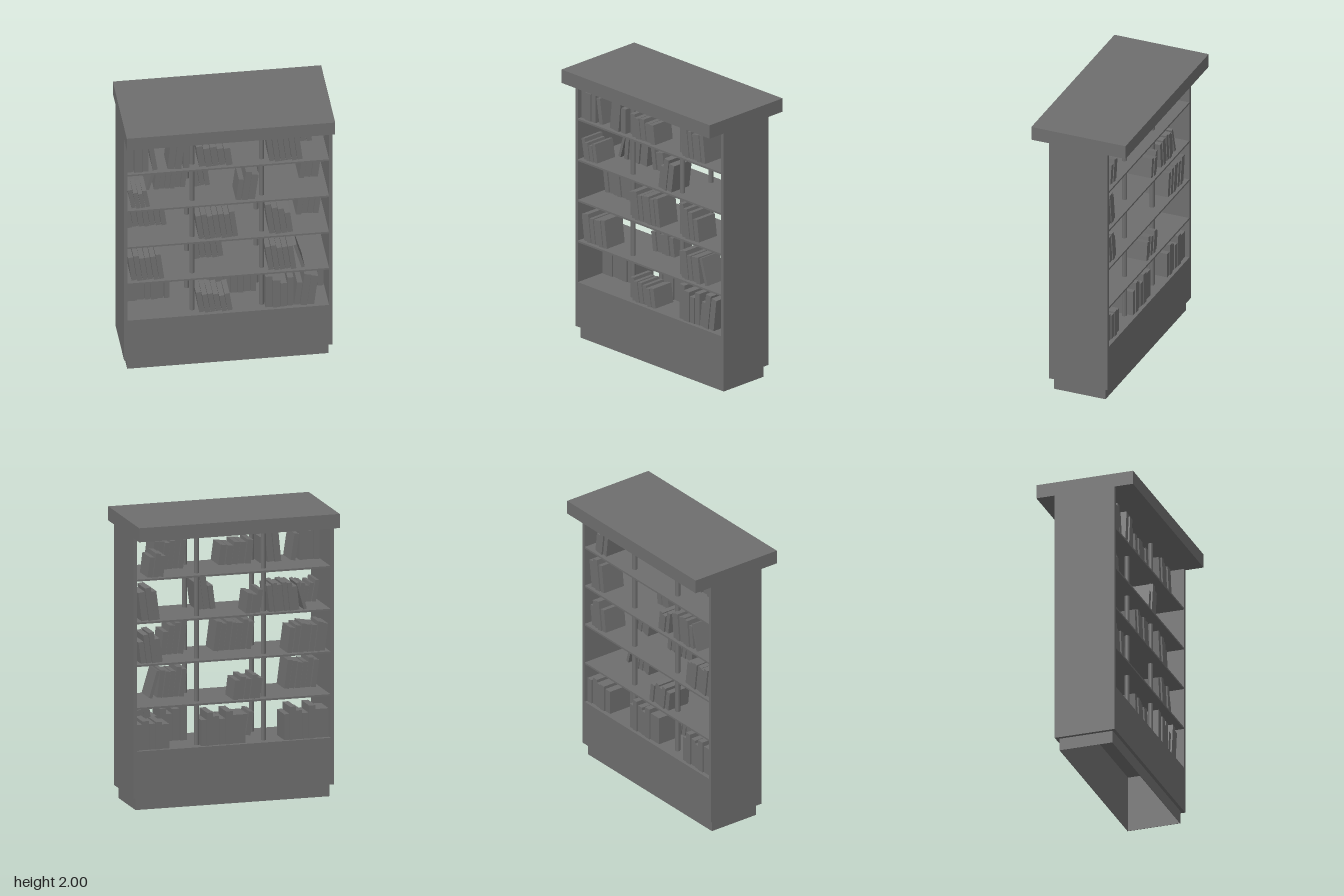
import * as THREE from 'three';

const material = new THREE.MeshStandardMaterial({ color: 0x6e6e6e, flatShading: true });

export function createModel() {
  const model = new THREE.Group();
  model.name = 'doubleSidedBookcase';

  // Box given by its bottom and top y and its centre x, z
  function box(name, w, d, y0, y1, x = 0, z = 0, parent = model) {
    const mesh = new THREE.Mesh(new THREE.BoxGeometry(w, y1 - y0, d), material);
    mesh.name = name;
    mesh.position.set(x, (y0 + y1) / 2, z);
    parent.add(mesh);
  }

  // Case: top slab, side panels, front and back aprons
  box('topSlab', 1.428, 0.696, 1.902, 2);
  for (const s of [-1, 1]) {
    box('sidePanel', 0.024, 0.432, 0.087, 1.902, s * 0.702);
    box('apron', 1.38, 0.023, 0.087, 0.413, 0, s * 0.2045);
  }
  box('bottomShelf', 1.38, 0.386, 0.4, 0.413);

  // Hollow plinth of thin boards, open below
  for (const s of [-1, 1]) {
    box('plinthLong', 1.38, 0.003, 0, 0.4, 0, s * 0.1885);
    box('plinthEnd', 0.003, 0.374, 0, 0.4, s * 0.6885);
  }

  // Thin shelves, with round posts in every tier
  const floors = [0.413, 0.717, 1.015, 1.312, 1.61];
  floors.forEach((y, i) => {
    if (i > 0) box('shelf', 1.38, 0.43, y - 0.013, y);
    const top = i < 4 ? floors[i + 1] - 0.013 : 1.902;
    for (const x of [-0.238, 0.238]) for (const z of [-0.135, 0.135]) {
      const post = new THREE.Mesh(new THREE.CylinderGeometry(0.018, 0.018, top - y, 12), material);
      post.name = 'post';
      post.position.set(x, (y + top) / 2, z);
      model.add(post);
    }
  });

  // A run of books: tier, row (1 front, -1 back), start x, lean (+ tips towards -x),
  // thickness (one for all, or one each) and heights
  function books(tier, row, x, lean, thickness, heights) {
    const run = new THREE.Group();
    run.name = row > 0 ? 'frontBooks' : 'backBooks';
    heights.forEach((h, i) => {
      const t = Array.isArray(thickness) ? thickness[i] : thickness;
      const step = t / Math.cos(lean);
      const pivot = new THREE.Group();
      pivot.name = 'book';
      // Each book rests on the bottom corner it tips over
      const side = lean < 0 ? -1 : 1;
      pivot.position.set(side < 0 ? x + step : x, floors[tier], row * (0.1 + (i * 2 % 3) * 0.005));
      pivot.rotation.z = lean;
      box('bookBlock', t - 0.003, 0.17, 0, h, side * t / 2, 0, pivot);
      run.add(pivot);
      x += step;
    });
    model.add(run);
  }

  // Lowest tier
  books(0, -1, -0.688, 0, [0.095, 0.05, 0.045, 0.045, 0.045, 0.04], [0.2, 0.23, 0.18, 0.2, 0.23, 0.18]);
  books(0, 1, -0.195, 0.15, 0.038, [0.165, 0.15, 0.15, 0.14, 0.13, 0.14]);
  books(0, -1, -0.097, 0, [0.095, 0.05, 0.045, 0.045, 0.045, 0.04], [0.2, 0.23, 0.18, 0.2, 0.23, 0.18]);
  books(0, 1, 0.257, 0, [0.05, 0.055, 0.045, 0.045], [0.25, 0.22, 0.19, 0.23]);
  books(0, 1, 0.452, -0.12, [0.04, 0.05, 0.05], [0.18, 0.25, 0.23]);
  books(0, -1, 0.447, 0, [0.055, 0.045, 0.045, 0.05, 0.045], [0.17, 0.19, 0.18, 0.2, 0.18]);

  // Second tier
  books(1, 1, -0.66, 0.13, 0.0375, [0.19, 0.205, 0.18, 0.18, 0.19, 0.2]);
  books(1, -1, -0.2, 0.13, 0.04, [0.14, 0.165, 0.14, 0.155, 0.135]);
  books(1, 1, 0.28, 0.13, 0.038, [0.19, 0.205, 0.18, 0.18, 0.19]);
  books(1, 1, 0.505, 0.29, 0.026, [0.195]);

  // Third tier
  books(2, -1, -0.66, 0.13, 0.0385, [0.19, 0.205, 0.185, 0.19, 0.2, 0.19, 0.175]);
  books(2, 1, -0.198, 0.13, 0.0385, [0.19, 0.205, 0.185, 0.19, 0.2, 0.19, 0.205]);
  books(2, 1, 0.285, 0.13, 0.041, [0.24, 0.215, 0.2, 0.16]);
  books(2, -1, 0.493, -0.13, 0.039, [0.165, 0.215, 0.2, 0.15]);

  // Fourth tier
  books(3, 1, -0.66, 0.18, 0.032, [0.15, 0.13, 0.115, 0.135]);
  books(3, -1, -0.535, -0.28, 0.024, [0.195]);
  books(3, -1, -0.48, -0.1, 0.036, [0.165, 0.195, 0.2, 0.185, 0.2, 0.185]);
  books(3, -1, -0.2, 0.13, 0.036, [0.16, 0.13, 0.14]);
  books(3, 1, 0.053, -0.13, [0.038, 0.045, 0.05], [0.165, 0.23, 0.2]);
  books(3, -1, 0.513, -0.13, [0.038, 0.045, 0.05], [0.2, 0.23, 0.2]);

  // Top tier
  books(4, 1, -0.688, 0, [0.045, 0.055, 0.045], [0.25, 0.2, 0.23]);
  books(4, 1, -0.515, 0.15, 0.037, [0.185]);
  books(4, 1, -0.415, -0.1, 0.048, [0.25, 0.23]);
  books(4, 1, -0.306, 0, 0.046, [0.18]);
  books(4, 1, -0.197, 0.13, 0.046, [0.165, 0.15, 0.155, 0.135, 0.14]);
  books(4, 1, 0.285, 0.12, 0.038, [0.2, 0.21, 0.195, 0.185, 0.195, 0.2]);
  books(4, -1, 0.49, 0.13, 0.039, [0.145, 0.165, 0.14]);

  return model;
}
